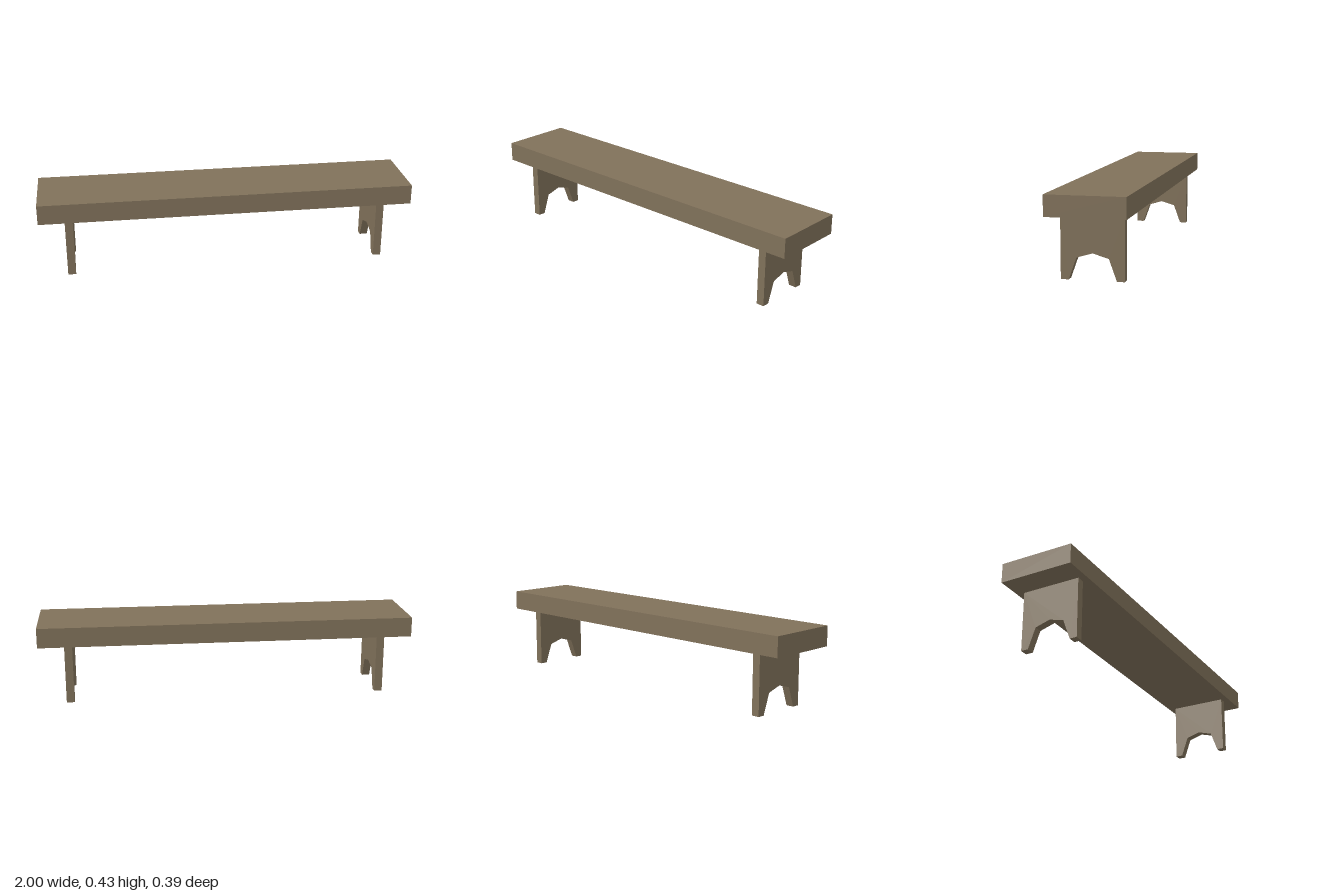
import * as THREE from 'three';

export function createModel() {
  const model = new THREE.Group();
  model.name = 'bench';

  const wood = new THREE.MeshStandardMaterial({ color: 0x80715a });
  wood.name = 'brown wood';

  // Thick plank seat
  const legHeight = 0.32, seatThickness = 0.105;
  const seat = new THREE.Mesh(new THREE.BoxGeometry(2, seatThickness, 0.394), wood);
  seat.name = 'seat';
  seat.position.y = legHeight + seatThickness / 2;
  model.add(seat);

  // Board leg with a pointed arch cut between two feet
  const profile = new THREE.Shape([
    [-0.157, 0], [-0.118, 0], [-0.079, 0.108], [0, 0.131],
    [0.079, 0.108], [0.118, 0], [0.157, 0],
    [0.157, legHeight], [-0.157, legHeight],
  ].map(([x, y]) => new THREE.Vector2(x, y)));
  const legThickness = 0.042;
  const legGeometry = new THREE.ExtrudeGeometry(profile, { depth: legThickness, bevelEnabled: false });
  legGeometry.translate(0, 0, -legThickness / 2);
  legGeometry.rotateY(Math.PI / 2);

  // One leg near each end
  for (const [name, side] of [['leftLeg', 1], ['rightLeg', -1]]) {
    const leg = new THREE.Mesh(legGeometry, wood);
    leg.name = name;
    leg.position.x = side * 0.842;
    model.add(leg);
  }

  return model;
}
